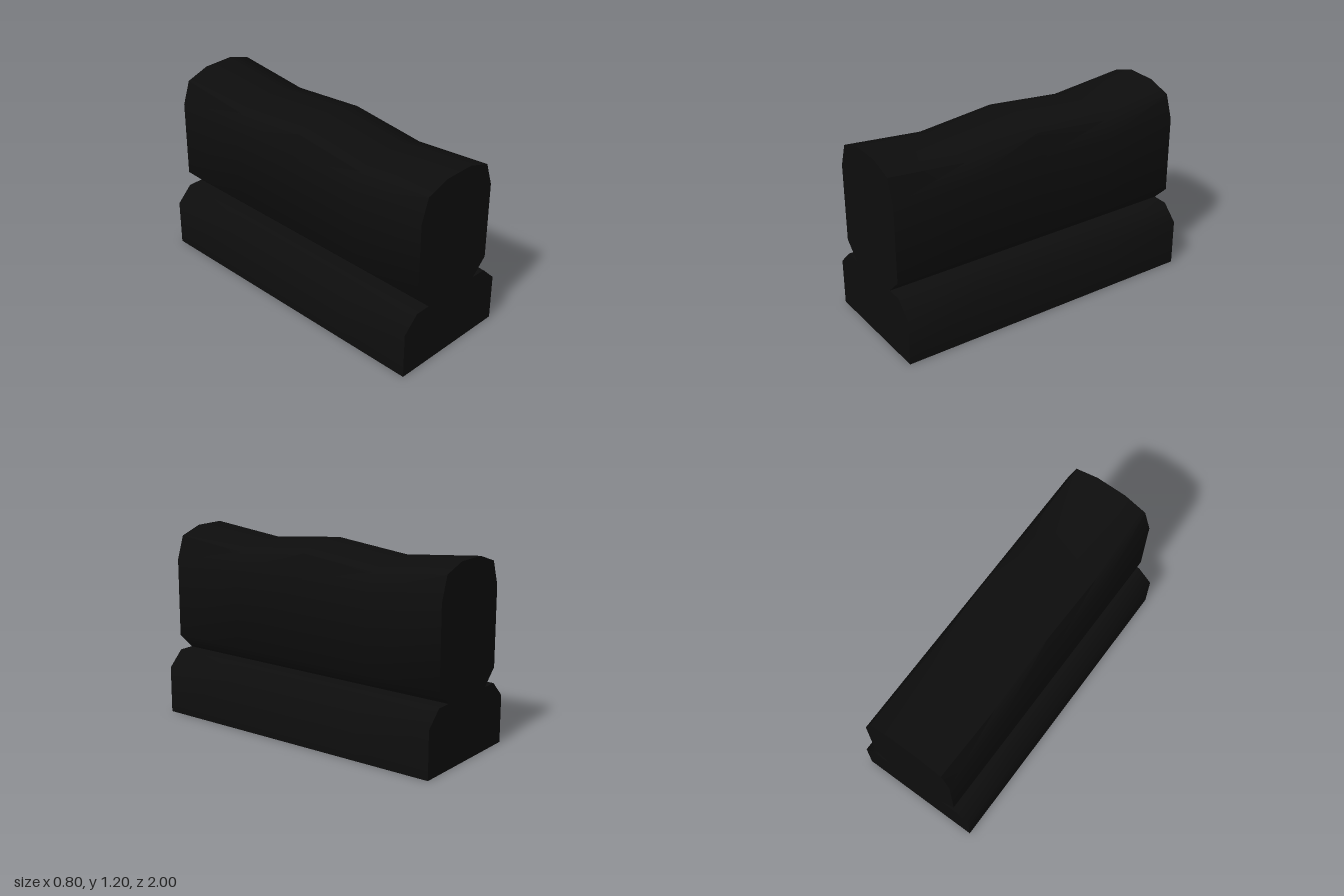
import * as THREE from 'three';
import { toCreasedNormals } from 'three/addons/utils/BufferGeometryUtils.js';

export function createModel() {
  const group = new THREE.Group();
  group.name = 'notchedBar';
  const black = new THREE.MeshStandardMaterial({ color: 0x0d0d0d });
  black.name = 'black';

  // right half of the cross-section, from the foot to the crown
  const half = [
    [0.4, 0], [0.4, 0.3], [0.3, 0.4], [0.2, 0.4],
    [0.3, 0.5], [0.3, 1.0], [0.25, 1.15], [0.1, 1.2],
  ];
  const mirrored = half.map(([x, y]) => [-x, y]).reverse();
  const profile = new THREE.Shape([...half, ...mirrored].map(([x, y]) => new THREE.Vector2(x, y)));

  // four lengthwise segments, with the crown dipping at every second ring
  const body = new THREE.ExtrudeGeometry(profile, { depth: 2, steps: 4, bevelEnabled: false });
  body.translate(0, 0, -1);
  const pos = body.attributes.position;
  for (let i = 0; i < pos.count; i++) {
    const dipped = Math.abs(Math.abs(pos.getZ(i)) - 0.5) < 0.01;
    if (dipped && pos.getY(i) > 1.1) pos.setY(i, pos.getY(i) - 0.05);
  }

  const mesh = new THREE.Mesh(toCreasedNormals(body, 0.9), black);
  mesh.name = 'body';
  group.add(mesh);
  return group;
}
